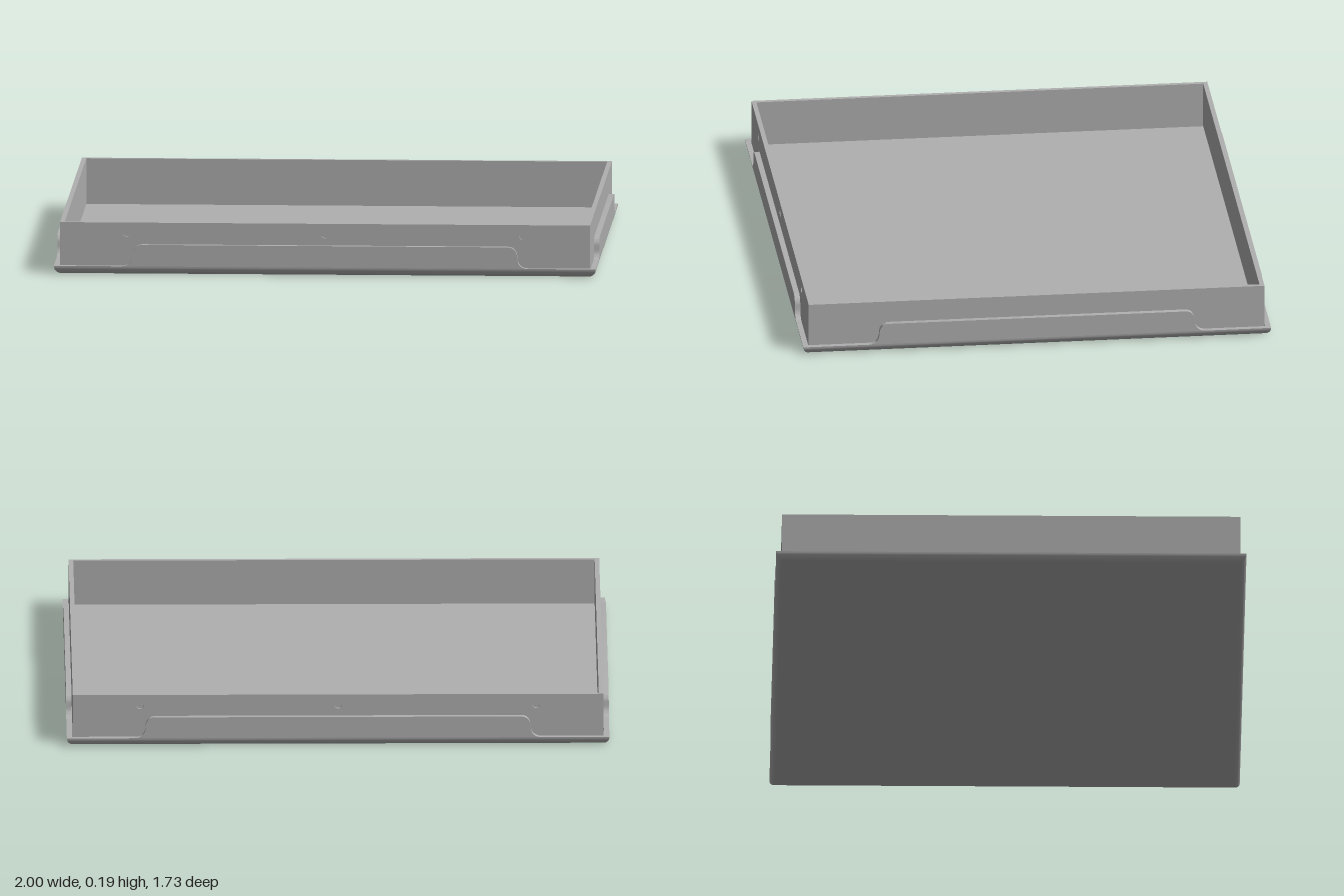
import * as THREE from 'three';
import { toCreasedNormals } from 'three/addons/utils/BufferGeometryUtils.js';

const W = 1, D = 0.867;          // half size of the base
const GAP = 0.022;               // outer rim to upright wall
const H = 0.19, T = 0.017;       // wall top and thickness
const R = 0.03, FLOOR = 0.02;    // bottom bend radius and floor height

const steel = new THREE.MeshStandardMaterial({ color: 0xb0b0b0 });
steel.name = 'grey steel';

function part(name, geometry, parent) {
  const mesh = new THREE.Mesh(geometry, steel);
  mesh.name = name;
  parent.add(mesh);
  return mesh;
}

// Pan lofted from rectangles: flat bottom, bent edge, lip, floor
function basePan() {
  const rings = [];
  for (let i = 0; i <= 8; i++) {
    const a = (i / 8) * Math.PI / 2;
    rings.push([R * (1 - Math.sin(a)), R * (1 - Math.cos(a))]);
  }
  rings.push([0.02, R], [0.02, FLOOR]);
  const corners = ([inset, y]) => [[1, 1], [1, -1], [-1, -1], [-1, 1]]
    .map(([sx, sz]) => [sx * (W - inset), y, sz * (D - inset)]);
  const pos = [];
  const quad = (a, b, c, d) => pos.push(...a, ...b, ...c, ...a, ...c, ...d);
  for (let i = 0; i < rings.length - 1; i++) {
    const lo = corners(rings[i]), hi = corners(rings[i + 1]);
    for (let k = 0; k < 4; k++) {
      const n = (k + 1) % 4;
      quad(lo[k], lo[n], hi[n], hi[k]);
    }
  }
  const b = corners(rings[0]), t = corners(rings[rings.length - 1]);
  quad(b[3], b[2], b[1], b[0]);
  quad(t[0], t[1], t[2], t[3]);
  const g = new THREE.BufferGeometry();
  g.setAttribute('position', new THREE.Float32BufferAttribute(pos, 3));
  return toCreasedNormals(g, 0.5);
}

// Raised flange with S-curved ends, outer face at z = 0
function flange(half) {
  const top = 0.11, s = new THREE.Shape();
  s.moveTo(-half - 0.04, R);
  s.bezierCurveTo(-half - 0.015, R, -half, 0.045, -half, 0.07);
  s.bezierCurveTo(-half, 0.095, -half + 0.015, top, -half + 0.035, top);
  s.lineTo(half - 0.035, top);
  s.bezierCurveTo(half - 0.015, top, half, 0.095, half, 0.07);
  s.bezierCurveTo(half, 0.045, half + 0.015, R, half + 0.04, R);
  const g = new THREE.ExtrudeGeometry(s, { depth: 0.02, bevelEnabled: false, curveSegments: 8 });
  g.translate(0, 0, -0.02);
  return toCreasedNormals(g, 0.5);
}

// Upright wall, outer face at z = 0; holes go only through its outer half
function wall(parent, half, holes) {
  const s = new THREE.Shape();
  s.moveTo(-half, FLOOR);
  s.lineTo(half, FLOOR);
  s.lineTo(half, H);
  s.lineTo(-half, H);
  for (const x of holes) {
    s.holes.push(new THREE.Path().absarc(x, 0.15, 0.014, 0, Math.PI * 2, true));
  }
  const g = new THREE.ExtrudeGeometry(s, { depth: T / 2, bevelEnabled: false, curveSegments: 12 });
  g.translate(0, 0, -T / 2);
  part('outerWallSheet', toCreasedNormals(g, 0.6), parent);
  const inner = part('innerWallSheet', new THREE.BoxGeometry(half * 2, H - FLOOR, T / 2), parent);
  inner.position.set(0, (H + FLOOR) / 2, -T * 0.75);
}

export function createModel() {
  const model = new THREE.Group();
  model.name = 'tray';
  part('basePan', basePan(), model);

  // Four sides: front, left, back, right
  const names = ['front', 'left', 'back', 'right'];
  names.forEach((name, i) => {
    const long = i % 2 === 0;
    const dist = long ? D : W;
    const side = new THREE.Group();
    side.name = name + 'Side';
    side.rotation.y = i * Math.PI / 2;
    model.add(side);

    part(name + 'Flange', flange(long ? 0.71 : 0.585), side).position.z = dist;

    const upright = new THREE.Group();
    upright.name = name + 'Wall';
    upright.position.z = dist - GAP;
    side.add(upright);
    wall(upright, long ? W - GAP : D - GAP - T, long ? [-0.73, 0, 0.73] : []);
  });
  return model;
}
